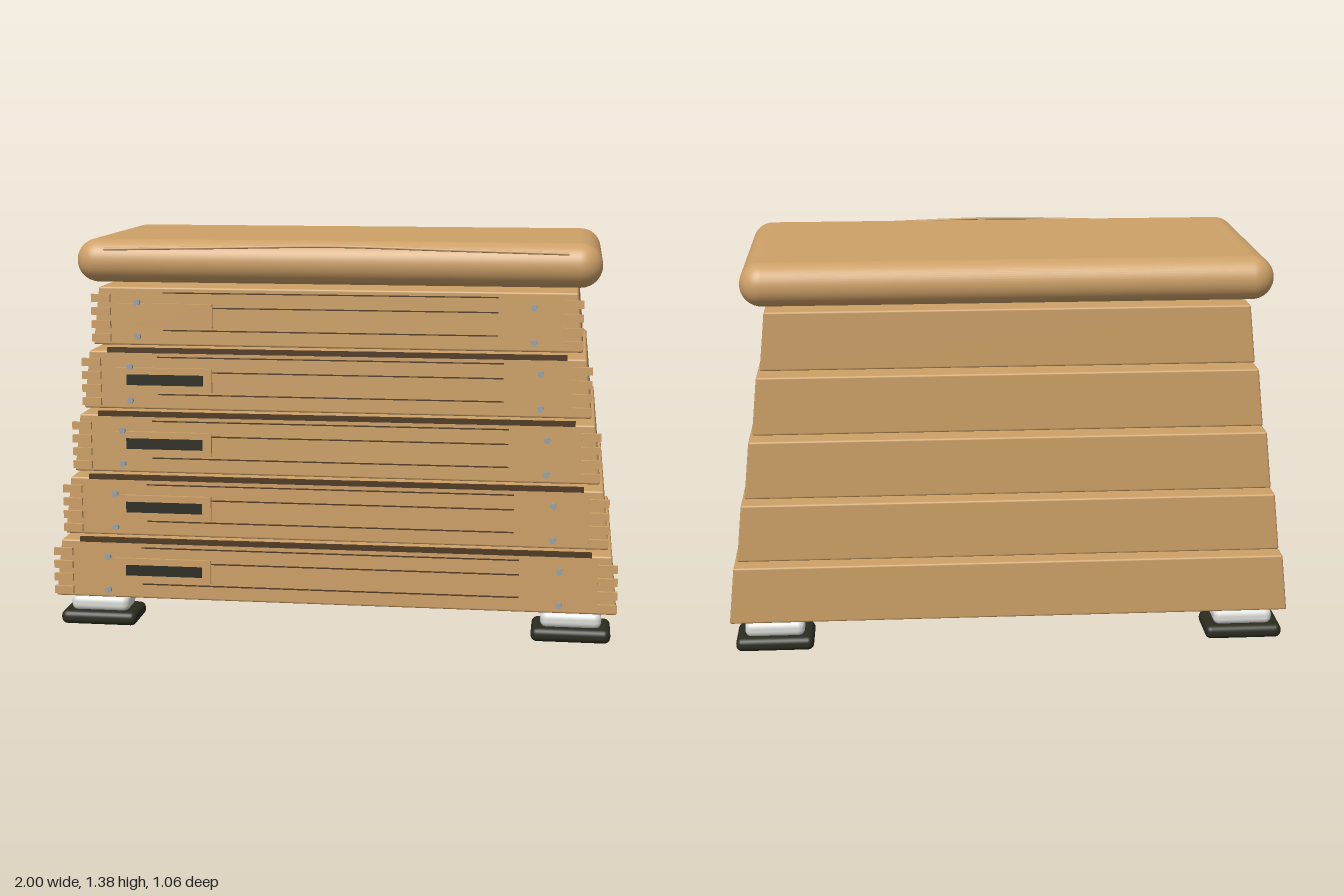
import * as THREE from 'three';
import { RoundedBoxGeometry } from 'three/addons/geometries/RoundedBoxGeometry.js';

const mat = (name, color) => {
  const m = new THREE.MeshStandardMaterial({ color });
  m.name = name;
  return m;
};

export function createModel() {
  const root = new THREE.Group();
  root.name = 'vaultingBox';
  const wood = mat('wood', 0xcda067);
  const darkWood = mat('darkWood', 0x4f3820);
  const black = mat('blackRubber', 0x2b2c20);
  const white = mat('whiteFoot', 0xdcdcd8);
  const steel = mat('steel', 0x98a2aa);

  const add = (parent, name, geometry, material, x, y, z) => {
    const mesh = new THREE.Mesh(geometry, material);
    mesh.name = name;
    mesh.position.set(x, y, z);
    parent.add(mesh);
    return mesh;
  };
  const box = (w, h, d) => new THREE.BoxGeometry(w, h, d);

  // Softly rounded box whose plan shrinks linearly from bottom to top
  const taperedBox = (hx0, hx1, hz0, hz1, h) => {
    const g = new RoundedBoxGeometry(hx0 * 2, h, hz0 * 2, 2, 0.007);
    const p = g.attributes.position;
    for (let i = 0; i < p.count; i++) {
      const t = p.getY(i) / h + 0.5;
      p.setX(i, p.getX(i) * (1 + t * (hx1 / hx0 - 1)));
      p.setZ(i, p.getZ(i) * (1 + t * (hz1 / hz0 - 1)));
    }
    return g;
  };

  // Five stacked tiers, each smaller than the one below
  const H = 0.205;
  for (let i = 0; i < 5; i++) {
    const tier = new THREE.Group();
    tier.name = 'tier' + (i + 1);
    tier.position.y = 0.1 + i * 0.226;
    root.add(tier);
    const hx = 1 - i * 0.034, hz = 0.499 - i * 0.0218;
    add(tier, 'tierBody', taperedBox(hx, hx - 0.02, hz, hz - 0.015, H), wood, 0, H / 2, 0);

    const zf = hz + 0.013;
    for (const s of [-1, 1]) {
      // Finger joints at the front corners
      for (let k = 0; k < 4; k++)
        add(tier, 'fingerJoint', box(0.068, 0.027, 0.014), wood, s * (hx - 0.034), 0.027 + k * 0.047, zf);
      // Screws
      for (const y of [0.035, 0.156]) {
        const screw = add(tier, 'screw', new THREE.CylinderGeometry(0.011, 0.011, 0.014, 12), steel,
          s * (0.8 - i * 0.026), y, hz + 0.025);
        screw.rotation.x = Math.PI / 2;
      }
    }

    // Hand-hold plate, with a dark slot on all but the top tier
    add(tier, 'handholdPlate', box(0.345, 0.085, 0.012), wood, -0.602, 0.108, zf);
    if (i < 4) add(tier, 'handholdSlot', box(0.275, 0.038, 0.003), black, -0.598, 0.108, zf + 0.0075);

    // Thin grain lines
    const x0 = -0.68 + i * 0.018, x1 = 0.66 - i * 0.022;
    [0.055, 0.136, 0.188].forEach((y, k) => {
      const left = k === 1 ? -0.43 : x0;
      add(tier, 'grainLine', box(x1 - left, 0.004, 0.004), darkWood, (left + x1) / 2, y, hz + 0.008);
    });

    // Dark joint strip at the upper front edge
    if (i < 4) add(tier, 'jointStrip', box(1.82 - i * 0.066, 0.018, 0.013), darkWood, 0, 0.209, hz - 0.014);
  }

  // Padded top with fully rounded sides
  add(root, 'padTop', new RoundedBoxGeometry(1.85, 0.154, 0.876, 8, 0.0765), wood, 0, 1.301, 0);

  // Seam cord bowed along the front of the pad
  const seam = new THREE.CatmullRomCurve3([
    new THREE.Vector3(-0.81, 1.346, 0.446),
    new THREE.Vector3(-0.4, 1.356, 0.459),
    new THREE.Vector3(0, 1.365, 0.469),
    new THREE.Vector3(0.4, 1.356, 0.459),
    new THREE.Vector3(0.81, 1.346, 0.446),
  ]);
  add(root, 'padSeam', new THREE.TubeGeometry(seam, 24, 0.005, 6), wood, 0, 0, 0);

  // Four feet: white block on a black rubber sole
  for (const sx of [-1, 1]) for (const sz of [-1, 1]) {
    const foot = new THREE.Group();
    foot.name = 'foot';
    foot.position.set(sx * 0.842, 0, sz * 0.439);
    root.add(foot);
    add(foot, 'footSole', new RoundedBoxGeometry(0.276, 0.05, 0.174, 4, 0.022), black, 0, 0.025, 0);
    add(foot, 'footBlock', new RoundedBoxGeometry(0.212, 0.06, 0.124, 4, 0.025), white, 0, 0.073, 0);
  }
  return root;
}
